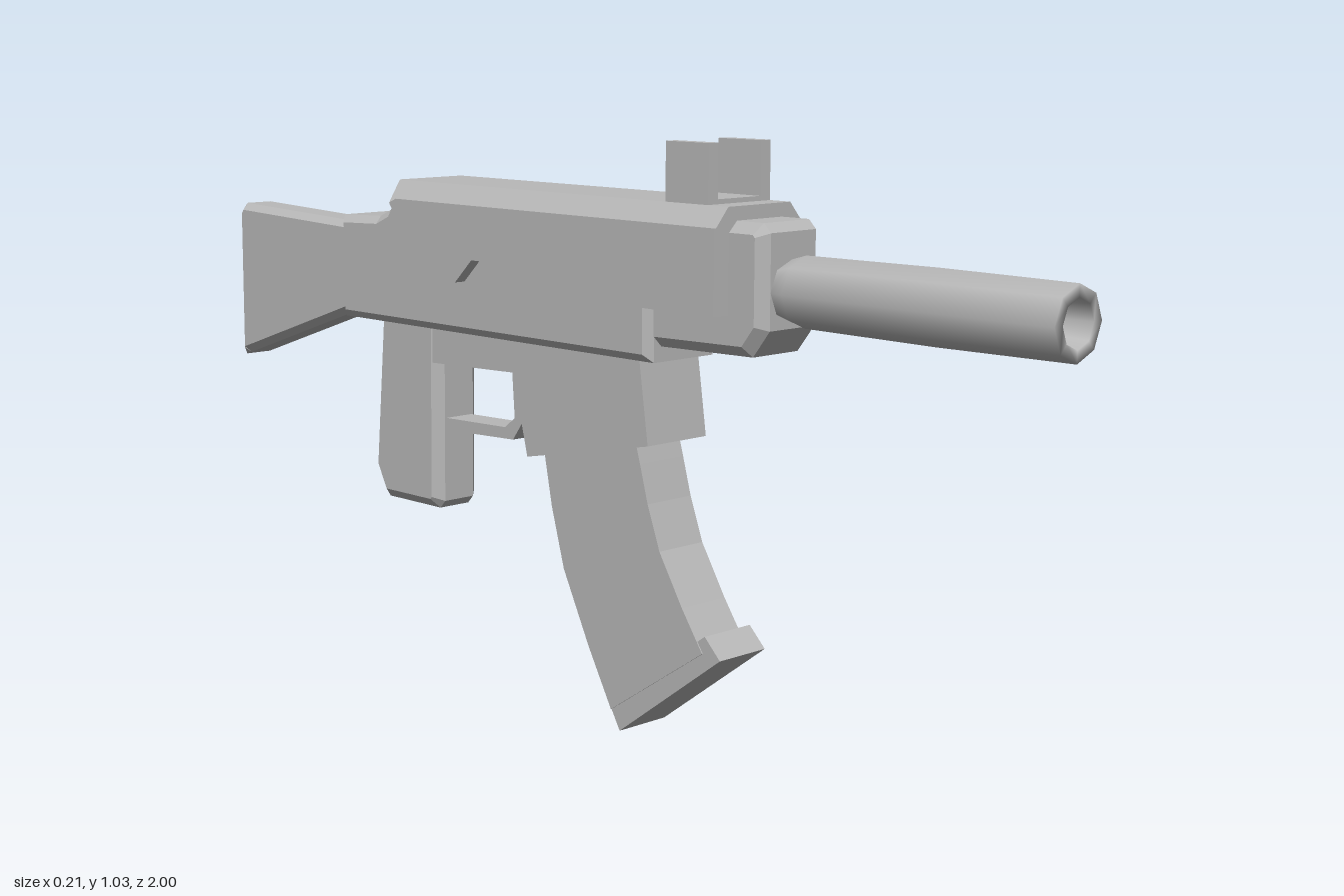
import * as THREE from 'three';
import { ConvexGeometry } from 'three/addons/geometries/ConvexGeometry.js';

export function createModel() {
  const model = new THREE.Group();
  const grey = new THREE.MeshStandardMaterial({ color: 0xb8b8b8 });
  grey.name = 'grey';

  const add = (name, geometry) => {
    const mesh = new THREE.Mesh(geometry, grey);
    mesh.name = name;
    model.add(mesh);
    return mesh;
  };
  const vectors = (points) => points.map(([z, y]) => new THREE.Vector2(z, y));

  // Side profile of [z, y] points, extruded across x with an optional chamfer
  const profile = (name, points, width, bevel = 0, holes = [], x = 0) => {
    const shape = new THREE.Shape(vectors(points));
    holes.forEach((h) => shape.holes.push(new THREE.Path(vectors(h))));
    const depth = width - 2 * bevel;
    const geometry = new THREE.ExtrudeGeometry(shape, {
      depth, bevelEnabled: bevel > 0, bevelSize: bevel, bevelThickness: bevel,
      bevelOffset: -bevel, bevelSegments: 1,
    });
    geometry.translate(0, 0, -depth / 2).rotateY(-Math.PI / 2).translate(x, 0, 0);
    return add(name, geometry);
  };

  // Barrel with a shallow bore
  const barrel = new THREE.LatheGeometry(vectors([
    [0.044, 0.44], [0.058, 0.49], [0.06, 0.75], [0.058, 1], [0.038, 1], [0.034, 0.95], [0, 0.94],
  ]), 8);
  barrel.rotateX(Math.PI / 2).translate(-0.003, 0.796, 0);
  add('barrel', barrel);

  // Receiver
  profile('frontBlock', [
    [0.15, 0.685], [0.425, 0.69], [0.46, 0.735], [0.46, 0.89], [0.445, 0.905], [0.15, 0.905],
  ], 0.142, 0.018);
  profile('receiverBody', [
    [0.22, 0.66], [0.22, 0.89], [-0.38, 0.915], [-0.44, 0.915], [-0.47, 0.87],
    [-0.5, 0.857], [-0.61, 0.853], [-0.61, 0.66],
  ], 0.168, 0.014);

  // Cover: side slab with a notched lower edge, and a chamfered roof
  profile('coverSides', [
    [0.387, 0.755], [0.387, 0.896], [-0.41, 0.896], [-0.43, 0.888], [-0.325, 0.755],
    [-0.245, 0.757], [-0.2, 0.8], [-0.056, 0.8], [-0.015, 0.757],
  ], 0.212);
  const roof = [];
  for (const s of [-1, 1]) {
    for (const [x, y, z] of [
      [0.106, 0.89, 0.387], [0.106, 0.89, -0.428], [0.073, 0.928, 0.387], [0.073, 0.928, -0.438],
    ]) roof.push(new THREE.Vector3(s * x, y, z));
  }
  add('coverRoof', new ConvexGeometry(roof));

  // Sight: two posts on a thin base
  const sightBase = add('sightBase', new THREE.BoxGeometry(0.144, 0.02, 0.095));
  sightBase.position.set(0, 0.926, 0.295);
  for (const s of [-1, 1]) {
    const post = add(s > 0 ? 'leftSightPost' : 'rightSightPost', new THREE.BoxGeometry(0.023, 0.11, 0.095));
    post.position.set(s * 0.0615, 0.971, 0.295);
  }

  // Magazine well
  profile('magazineWell', [
    [0.183, 0.68], [0.206, 0.518], [-0.095, 0.458], [-0.13, 0.6], [-0.13, 0.68],
  ], 0.14);

  // Curved magazine: u runs front to rear, t runs top to bottom
  const frontEdge = new THREE.SplineCurve(vectors([[0.15, 0.55], [0.17, 0.48], [0.217, 0.337], [0.318, 0.18]]));
  const rearEdge = new THREE.SplineCurve(vectors([[-0.08, 0.52], [-0.068, 0.46], [-0.02, 0.265], [0.1, 0.035]]));
  const strip = (u0, u1, t0, t1, steps = 6) => {
    const side = (u) => Array.from({ length: steps + 1 }, (_, i) => {
      const t = t0 + (t1 - t0) * i / steps;
      const p = frontEdge.getPoint(t).lerp(rearEdge.getPoint(t), u);
      return [p.x, p.y];
    });
    return [...side(u0), ...side(u1).reverse()];
  };
  profile('magazine', strip(0, 1, 0, 1), 0.104, 0, [
    strip(0.2, 0.4, 0.05, 0.92), strip(0.58, 0.78, 0.05, 0.92),
  ]);
  profile('magazineGrooves', strip(0.08, 0.92, 0.02, 0.97), 0.08);
  profile('magazineBase', [[0.357, 0.175], [0.322, 0.21], [0.093, 0.046], [0.12, 0]], 0.11, 0, [], 0.005);

  // Grip, trigger guard and the rail above it
  profile('grip', [
    [-0.362, 0.68], [-0.366, 0.33], [-0.38, 0.315], [-0.53, 0.315], [-0.562, 0.375], [-0.535, 0.68],
  ], 0.104, 0.018);
  profile('guardRail', [[-0.12, 0.68], [-0.125, 0.6], [-0.38, 0.592], [-0.38, 0.68]], 0.1);
  profile('triggerGuard', [
    [-0.148, 0.61], [-0.142, 0.52], [-0.178, 0.472], [-0.39, 0.464], [-0.39, 0.487],
    [-0.2, 0.492], [-0.173, 0.512], [-0.18, 0.61],
  ], 0.06);

  // Stock
  profile('stock', [[-0.59, 0.835], [-0.985, 0.85], [-1, 0.835], [-1, 0.54], [-0.985, 0.545], [-0.59, 0.677]],
    0.082, 0.013, [], -0.003);

  return model;
}
